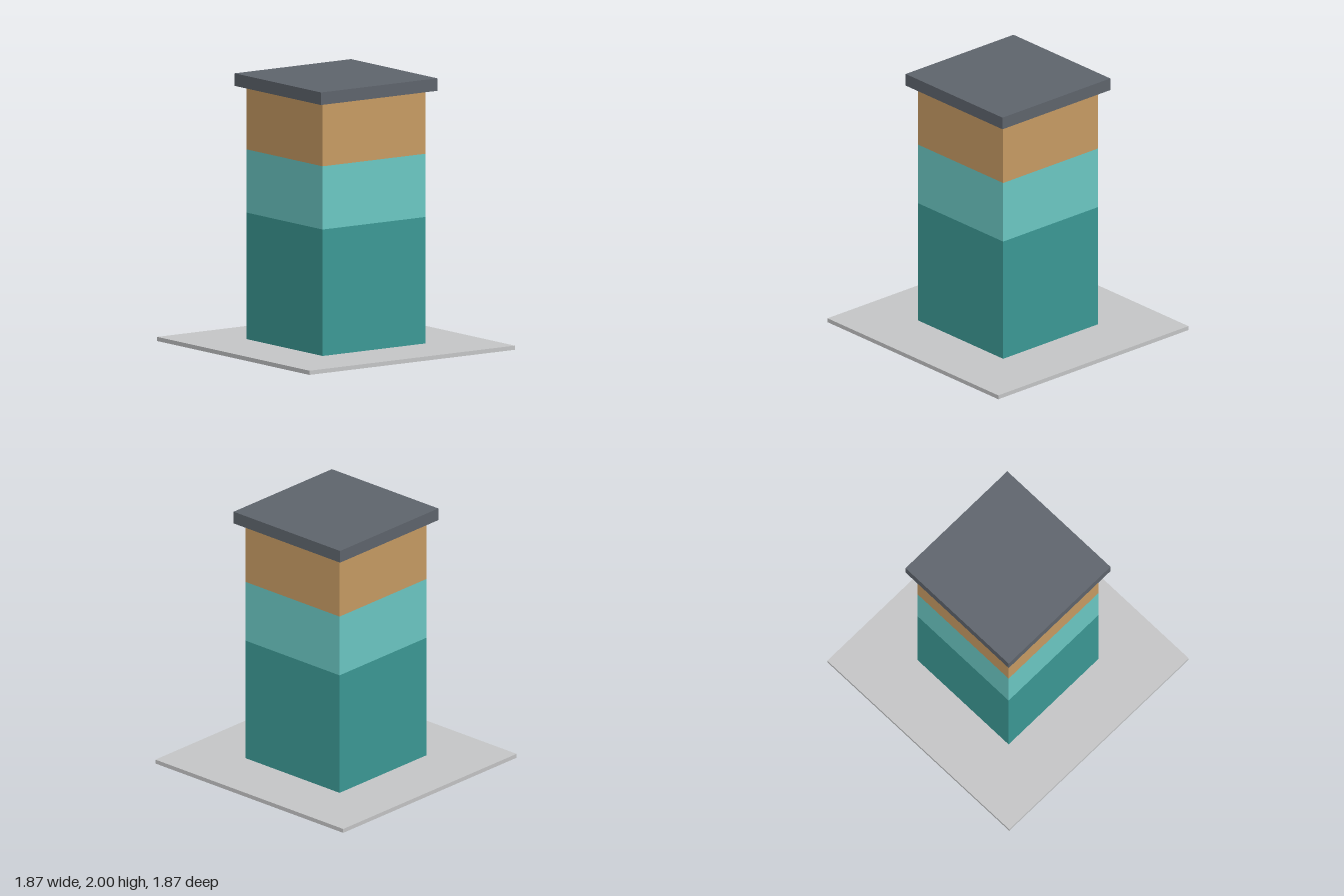
import * as THREE from 'three';

const material = (name, color) => {
  const m = new THREE.MeshStandardMaterial({ color });
  m.name = name;
  return m;
};

export function createModel() {
  const model = new THREE.Group();
  model.name = 'tower';

  // A square slab between two heights
  const slab = (name, width, bottom, top, mat) => {
    const mesh = new THREE.Mesh(new THREE.BoxGeometry(width, top - bottom, width), mat);
    mesh.name = name;
    mesh.position.y = (bottom + top) / 2;
    model.add(mesh);
  };

  // Ground plate
  slab('basePlate', 1.87, 0, 0.031, material('light grey', 0xc6c7c8));

  // Stacked storeys
  slab('lowerStorey', 0.935, 0.031, 0.969, material('dark teal', 0x3c9a96));
  slab('middleStorey', 0.935, 0.969, 1.438, material('light teal', 0x6cc9c5));
  slab('upperStorey', 0.935, 1.438, 1.907, material('tan', 0xc89c64));

  // Overhanging flat roof
  slab('roof', 1.06, 1.907, 2, material('slate grey', 0x5f656d));

  return model;
}
